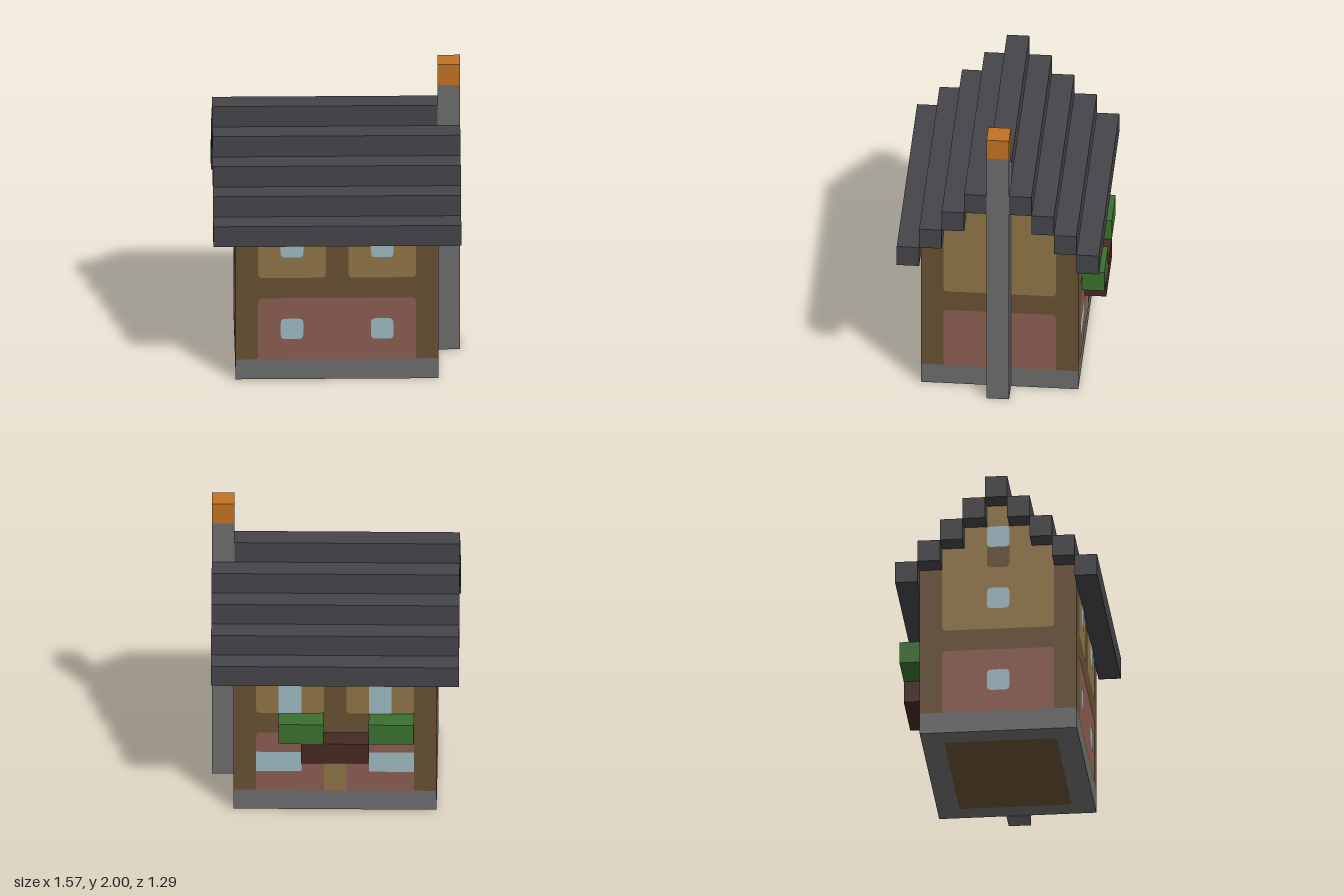
import * as THREE from 'three';

// Everything is laid out on a block grid, seven blocks per unit.
const BLOCK = 1 / 7;

const paint = (name, color) => {
  const m = new THREE.MeshStandardMaterial({ color });
  m.name = name;
  return m;
};

export function createModel() {
  const stone = paint('stone grey', 0x6c6c6c);
  const timber = paint('timber brown', 0x675033);
  const plaster = paint('tan plaster', 0x8f7447);
  const brick = paint('dusty red brick', 0x8a5c50);
  const glass = paint('pale blue glass', 0x9cb8c0);
  const slate = paint('dark slate', 0x454449);
  const ember = paint('ember orange', 0xc07122);
  const leaf = paint('leaf green', 0x3a702e);
  const darkWood = paint('dark wood', 0x452a21);

  const house = new THREE.Group();
  house.name = 'house';
  house.scale.setScalar(BLOCK);

  // Box given by its extents in blocks
  function box(name, mat, [x0, x1], [y0, y1], [z0, z1]) {
    const mesh = new THREE.Mesh(new THREE.BoxGeometry(x1 - x0, y1 - y0, z1 - z0), mat);
    mesh.position.set((x0 + x1) / 2, (y0 + y1) / 2, (z0 + z1) / 2);
    mesh.name = name;
    house.add(mesh);
  }

  // Flat painted plate; rb and rt are the bottom and top corner radii
  function plate(parent, name, mat, [x0, x1], [y0, y1], layer, rb = 0.2, rt = 0.2) {
    const s = new THREE.Shape();
    s.moveTo(x0 + rb, y0).lineTo(x1 - rb, y0);
    s.quadraticCurveTo(x1, y0, x1, y0 + rb).lineTo(x1, y1 - rt);
    s.quadraticCurveTo(x1, y1, x1 - rt, y1).lineTo(x0 + rt, y1);
    s.quadraticCurveTo(x0, y1, x0, y1 - rt).lineTo(x0, y0 + rb);
    s.quadraticCurveTo(x0, y0, x0 + rb, y0);
    const mesh = new THREE.Mesh(new THREE.ShapeGeometry(s, 3), mat);
    mesh.position.z = layer * 0.02;
    mesh.name = name;
    parent.add(mesh);
  }

  // Group whose local +z points out of one wall
  function wall(name, angle, distance) {
    const g = new THREE.Group();
    g.name = name;
    g.rotation.y = angle;
    g.position.set(Math.sin(angle) * distance, 0, Math.cos(angle) * distance);
    house.add(g);
    return g;
  }

  // Foundation with a timber floor showing underneath
  box('foundation', stone, [-4.5, 4.5], [0.02, 1], [-3.5, 3.5]);
  const floor = new THREE.Group();
  floor.name = 'floor';
  floor.rotation.x = Math.PI / 2;
  floor.position.y = 0.02;
  house.add(floor);
  plate(floor, 'floorPanel', timber, [-3.5, 3.5], [-2.5, 2.5], 1);

  // Timber body stepping in towards the ridge
  box('walls', timber, [-4.5, 4.5], [1, 8], [-3.5, 3.5]);
  for (let i = 0; i < 3; i++) {
    box('gableStep', timber, [-4.5, 4.5], [8 + i, 9 + i], [i - 2.5, 2.5 - i]);
  }

  // Stepped roof rows and the ridge, which stops at the chimney
  for (let i = 0; i < 4; i++) {
    box('roofRowFront', slate, [-5.5, 5.5], [7 + i, 8 + i], [3.5 - i, 4.5 - i]);
    box('roofRowBack', slate, [-5.5, 5.5], [7 + i, 8 + i], [i - 4.5, i - 3.5]);
  }
  box('roofRidge', slate, [-5.5, 4.5], [11, 12], [-0.5, 0.5]);

  // Chimney
  box('chimney', stone, [4.5, 5.5], [0, 13], [-0.5, 0.5]);
  box('chimneyTop', ember, [4.5, 5.5], [13, 14], [-0.5, 0.5]);

  // Balcony ledge and hedges on the back
  box('balconyLedge', darkWood, [-1.5, 1.5], [3, 4], [-4.5, -3.5]);
  box('hedge', leaf, [0.5, 2.5], [4, 5], [-4.5, -3.5]);
  box('hedge', leaf, [-3.5, -1.5], [4, 5], [-4.5, -3.5]);

  // Long walls: brick below, two plaster bays above
  const front = wall('frontWall', 0, 3.5);
  const back = wall('backWall', Math.PI, 3.5);
  for (const w of [front, back]) {
    plate(w, 'brickPanel', brick, [-3.5, 3.5], [1, 4], 1, 0);
    for (const c of [-2, 2]) {
      plate(w, 'plasterPanel', plaster, [c - 1.5, c + 1.5], [5, 7], 1, 0.2, 0);
    }
  }
  for (const c of [-2, 2]) {
    plate(front, 'lowerWindow', glass, [c - 0.5, c + 0.5], [2, 3], 2);
    plate(front, 'upperWindow', glass, [c - 0.5, c + 0.5], [6, 7], 2, 0.2, 0);
    plate(back, 'tallWindow', glass, [c - 0.5, c + 0.5], [5, 7], 2, 0, 0);
    const m = c * 1.25;
    plate(back, 'wideWindow', glass, [m - 1, m + 1], [2, 3], 2, 0, 0);
  }
  plate(back, 'door', plaster, [-0.5, 0.5], [1, 3], 2, 0, 0);

  // Gable walls: brick below, plaster stepping up under the roof
  for (const side of [1, -1]) {
    const g = wall(side > 0 ? 'chimneyGable' : 'windowGable', side * Math.PI / 2, 4.5);
    plate(g, 'brickPanel', brick, [-2.5, 2.5], [1, 4], 1, 0);
    plate(g, 'plasterPanel', plaster, [-2.5, 2.5], [5, 9], 1, 0.2, 0);
    plate(g, 'plasterStep', plaster, [-1.5, 1.5], [9, 10], 1, 0, 0);
    plate(g, 'plasterPeak', plaster, [-0.5, 0.5], [10, 11], 1, 0, 0);
    if (side > 0) continue;
    plate(g, 'lowerWindow', glass, [-0.5, 0.5], [2, 3], 2);
    plate(g, 'upperWindow', glass, [-0.5, 0.5], [6, 7], 2);
    plate(g, 'atticSill', timber, [-0.5, 0.5], [8, 9], 2, 0.2, 0);
    plate(g, 'atticWindow', glass, [-0.5, 0.5], [9, 10], 2, 0.2, 0.2);
  }

  const model = new THREE.Group();
  model.name = 'steppedRoofHouse';
  model.add(house);
  return model;
}
